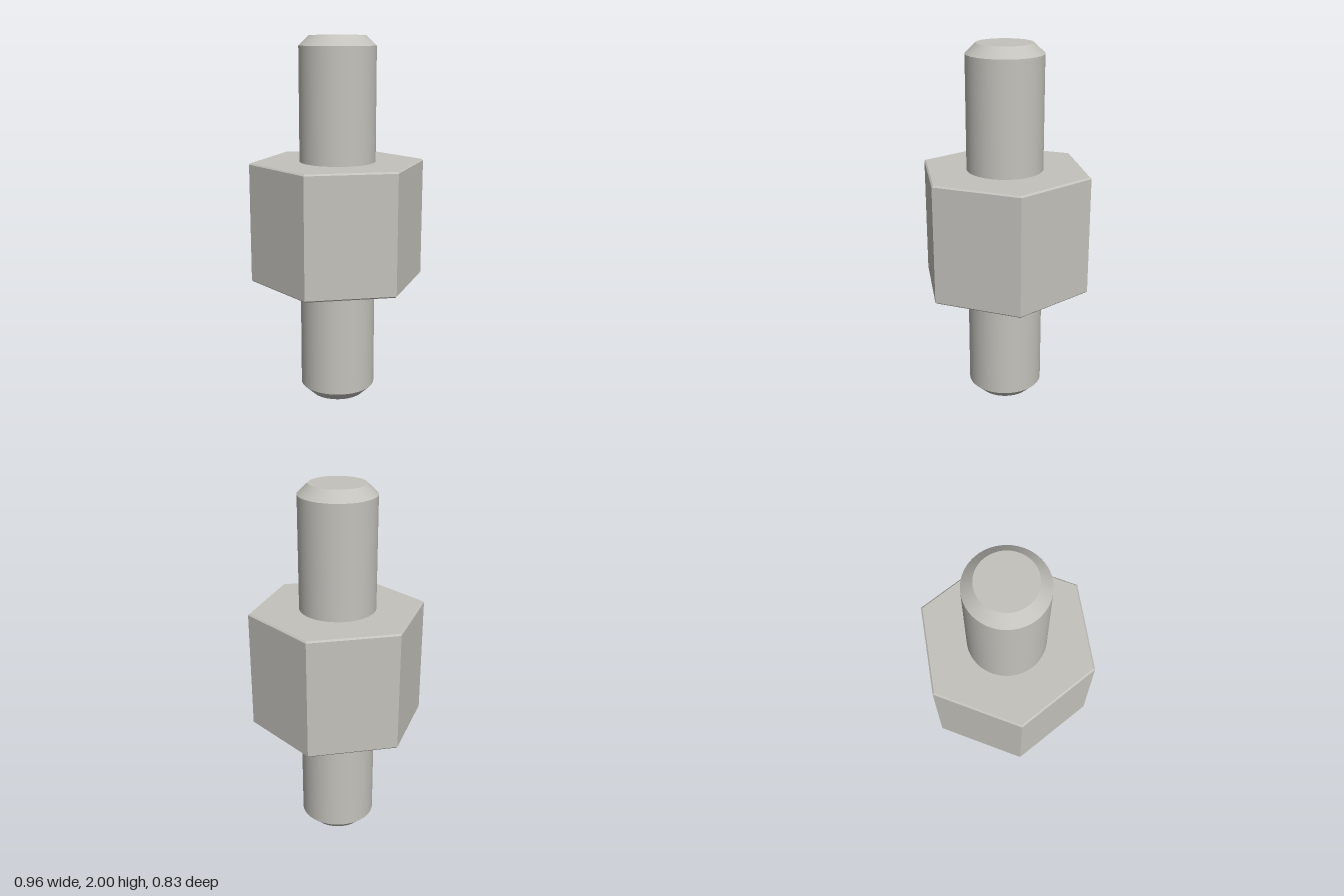
import * as THREE from 'three';

const R = 0.207;          // stud radius
const TIP = 0.15;         // radius of the chamfered end
const CHAMFER = 0.055;    // chamfer height
const NUT_BOTTOM = 0.672;
const NUT_TOP = 1.332;
const BEVEL = 0.008;

export function createModel() {
  const model = new THREE.Group();
  model.name = 'threadedStandoff';
  const steel = new THREE.MeshStandardMaterial({ color: 0xc4c2bc });
  steel.name = 'steel';

  const add = (parent, name, geometry, y) => {
    const mesh = new THREE.Mesh(geometry, steel);
    mesh.name = name;
    mesh.position.y = y;
    parent.add(mesh);
  };

  // Hexagonal body with corners on the x axis and finely bevelled rims
  const hexagon = new THREE.Shape();
  for (let i = 0; i < 6; i++) {
    const a = (i * Math.PI) / 3;
    const x = 0.48 * Math.cos(a), y = 0.48 * Math.sin(a);
    if (i === 0) hexagon.moveTo(x, y);
    else hexagon.lineTo(x, y);
  }
  hexagon.closePath();
  const hexBody = new THREE.ExtrudeGeometry(hexagon, {
    depth: NUT_TOP - NUT_BOTTOM - 2 * BEVEL,
    bevelSize: BEVEL, bevelThickness: BEVEL, bevelOffset: -BEVEL, bevelSegments: 1,
  });
  hexBody.rotateX(-Math.PI / 2);
  add(model, 'hexBody', hexBody, NUT_BOTTOM + BEVEL);

  // Round stud rising from its origin, with a chamfered tip
  const makeStud = (name, length) => {
    const stud = new THREE.Group();
    stud.name = name;
    const shaft = length - CHAMFER;
    add(stud, name + 'Shaft', new THREE.CylinderGeometry(R, R, shaft, 64, 1, true), shaft / 2);
    add(stud, name + 'Chamfer', new THREE.CylinderGeometry(TIP, R, CHAMFER, 64), length - CHAMFER / 2);
    model.add(stud);
    return stud;
  };

  const upper = makeStud('upperStud', 2 - NUT_TOP);
  upper.position.y = NUT_TOP;

  const lower = makeStud('lowerStud', NUT_BOTTOM);
  lower.position.y = NUT_BOTTOM;
  lower.rotation.x = Math.PI;

  return model;
}
